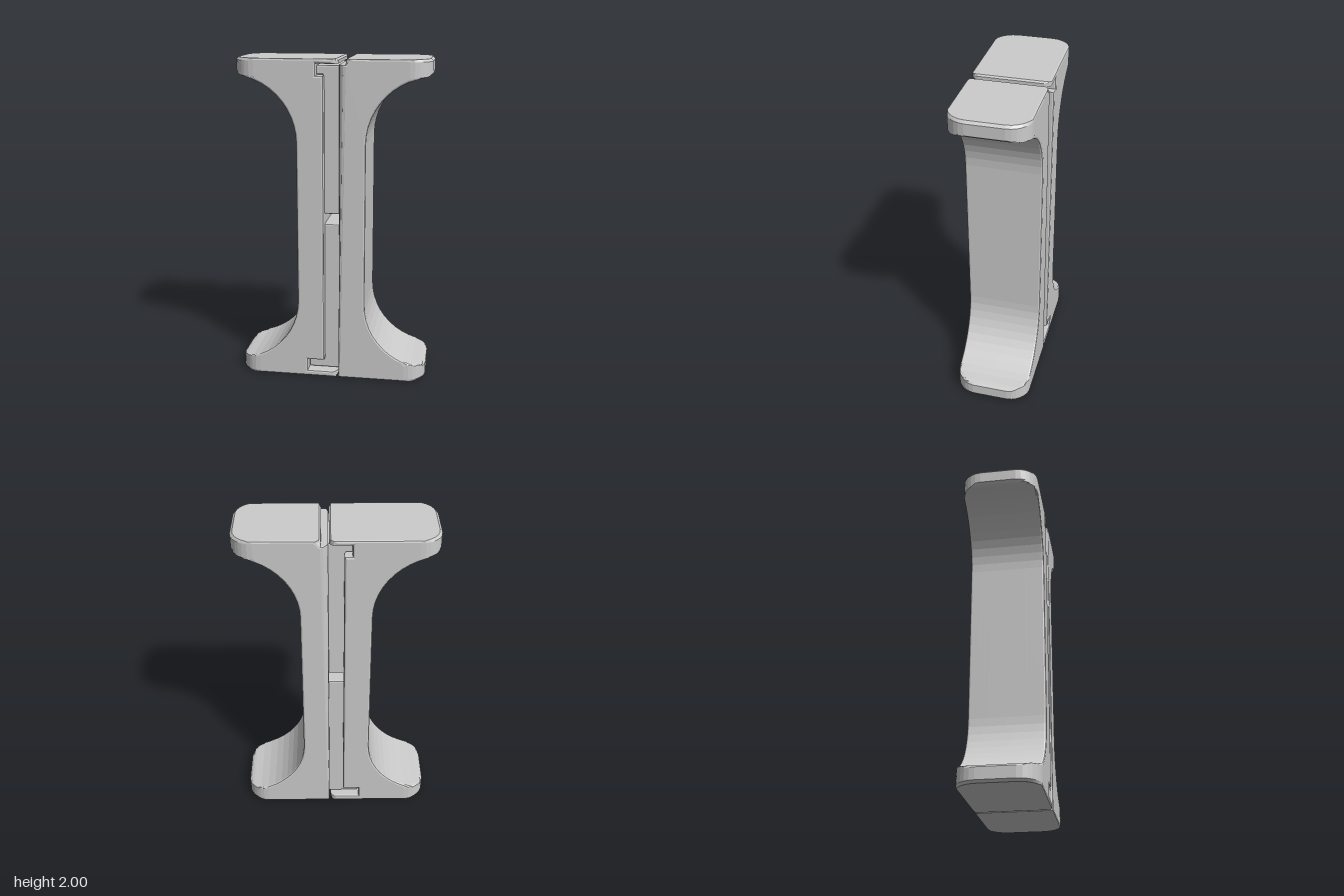
import * as THREE from 'three';
import { RoundedBoxGeometry } from 'three/addons/geometries/RoundedBoxGeometry.js';

const HALF = 0.235;   // half depth
const BEVEL = 0.012;
const material = new THREE.MeshStandardMaterial({ color: 0xcccccc, flatShading: true });

// Distance the plan outline is pulled in at depth z by a corner of radius r
function cornerInset(z, r) {
  const d = Math.min(r, Math.max(0, Math.abs(z) - (HALF - r)));
  return r - Math.sqrt(r * r - d * d);
}

// Concave outer edge with the cap ends, from top to bottom
function outerEdge(side) {
  const pts = [[0.575, 2], [0.59, 1.985], [0.59, 1.915], [0.575, 1.902]];
  const n = 12, r = 0.4;
  for (let i = 1; i <= n; i++) {
    const a = (i / n) * Math.PI / 2;
    pts.push([0.61 - r * Math.cos(Math.PI / 2 - a), 1.5 + r * Math.sin(Math.PI / 2 - a)]);
  }
  const lower = pts.map(([x, y]) => [x, 2 - y]).reverse();
  return [...pts, ...lower].map(([x, y]) => [side * x, y]);
}

// Extruded half with rounded cap corners
function makeHalf(name, side, innerEdge, lipEdge) {
  const shape = new THREE.Shape(
    [...outerEdge(side), ...innerEdge].map(([x, y]) => new THREE.Vector2(x, y)));
  const core = 2 * (HALF - BEVEL);
  const geo = new THREE.ExtrudeGeometry(shape, {
    depth: core, steps: 18, bevelEnabled: true, bevelSize: BEVEL,
    bevelThickness: BEVEL, bevelOffset: -BEVEL, bevelSegments: 2
  });
  geo.translate(0, 0, -core / 2);
  const p = geo.attributes.position;
  for (let i = 0; i < p.count; i++) {
    let x = p.getX(i), z = p.getZ(i);
    const y = p.getY(i);
    // crowd the slices towards the rounded corners
    if (Math.abs(z) < core / 2) z = (core / 2) * Math.sin((z / (core / 2)) * Math.PI / 2);
    const edge = Math.max(0, 0.015 - Math.min(y, 2 - y));
    const outer = 0.59 - edge - cornerInset(z, 0.13);
    if (side * x > outer) x = side * outer;
    // small corners on the inner lips
    const lip = lipEdge(y);
    if (lip !== null) {
      const inner = side * lip + cornerInset(z, 0.045);
      if (side * x < inner) x = side * inner;
    }
    p.setXYZ(i, x, y, z);
  }
  geo.computeVertexNormals();
  const mesh = new THREE.Mesh(geo, material);
  mesh.name = name;
  return mesh;
}

function block(name, x0, x1, y0, y1, halfDepth) {
  const mesh = new THREE.Mesh(
    new RoundedBoxGeometry(x1 - x0, y1 - y0, 2 * halfDepth, 1, 0.008), material);
  mesh.position.set((x0 + x1) / 2, (y0 + y1) / 2, 0);
  mesh.name = name;
  return mesh;
}

export function createModel() {
  const model = new THREE.Group();
  model.name = 'splitSpool';

  // Half with overhanging lips at top and bottom and notches for the hooks
  model.add(makeHalf('rightHalf', -1, [
    [0.03, 0], [0.04, 0.01], [0.04, 0.036], [-0.15, 0.036], [-0.15, 0.11], [-0.045, 0.11],
    [-0.045, 1.9], [-0.09, 1.9], [-0.09, 1.97], [0.04, 1.97], [0.04, 1.99], [0.03, 2]
  ], y => (y > 1.95 || y < 0.05 ? 0.04 : null)));

  // Half with a stepped shoulder at the top
  model.add(makeHalf('leftHalf', 1, [
    [0.045, 0], [0.045, 1.965], [0.085, 1.965], [0.085, 1.99], [0.095, 2]
  ], y => (y > 1.97 ? 0.085 : y > 1.9 ? 0.045 : null)));

  // Recessed tongues in the gap, with an opening between them
  model.add(block('lowerTongue', -0.055, 0.055, 0.05, 0.995, 0.185));
  model.add(block('upperTongue', -0.055, 0.055, 1.06, 1.95, 0.185));

  // Hooks that reach into the notches
  model.add(block('topHook', -0.095, 0.06, 1.905, 1.96, 0.185));
  model.add(block('bottomHook', -0.145, 0.06, 0.045, 0.105, 0.185));
  return model;
}
